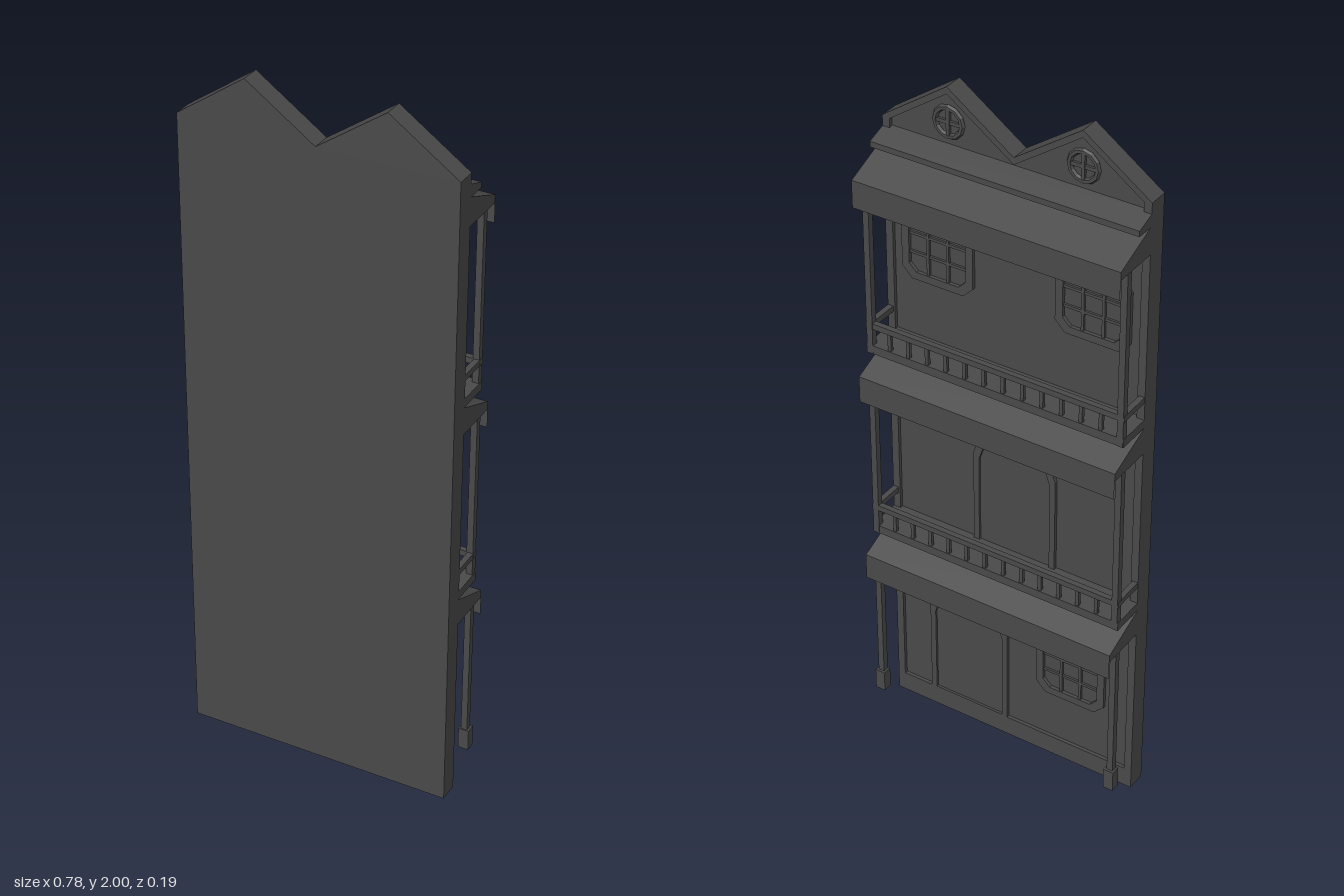
import * as THREE from 'three';

const mat = new THREE.MeshStandardMaterial({ color: 0x4a4a4a, flatShading: true });
const thinMat = new THREE.MeshStandardMaterial({ color: 0x4a4a4a, flatShading: true, side: THREE.DoubleSide });
const HALF = 0.387;      // half width of the facade
const WALL = 0.05;       // z of the recessed wall face, which looks to -z
const TRIM = 0.01;       // how far the trim stands out from it

function add(parent, name, geo, material = mat) {
  const mesh = new THREE.Mesh(geo, material);
  mesh.name = name;
  parent.add(mesh);
  return mesh;
}

function box(parent, name, x0, x1, y0, y1, z0, z1) {
  const m = add(parent, name, new THREE.BoxGeometry(x1 - x0, y1 - y0, z1 - z0));
  m.position.set((x0 + x1) / 2, (y0 + y1) / 2, (z0 + z1) / 2);
}

function group(parent, name) {
  const g = new THREE.Group();
  g.name = name;
  parent.add(g);
  return g;
}

const poly = pts => pts.map(([x, y]) => new THREE.Vector2(x, y));

// Flat relief standing out from the wall face by depth
function relief(parent, name, outer, depth, hole) {
  const shape = new THREE.Shape(poly(outer));
  if (hole) shape.holes.push(new THREE.Path(poly(hole)));
  const geo = new THREE.ExtrudeGeometry(shape, { depth, bevelEnabled: false });
  geo.translate(0, 0, WALL - depth);
  add(parent, name, geo);
}

// [z, y] profile swept over the full width
function sweep(parent, name, profile) {
  const geo = new THREE.ExtrudeGeometry(new THREE.Shape(poly(profile)), { depth: HALF * 2, bevelEnabled: false });
  geo.rotateY(-Math.PI / 2).translate(HALF, 0, 0);
  add(parent, name, geo);
}

// Rectangle with cut corners
const octagon = (x, y, w, h, c) => [
  [x - w + c, y - h], [x + w - c, y - h], [x + w, y - h + c], [x + w, y + h - c],
  [x + w - c, y + h], [x - w + c, y + h], [x - w, y + h - c], [x - w, y - h + c]];

// Door outline with a faceted arched top
const arch = (x, y0, y1, w) => [
  [x - w, y0], [x + w, y0], [x + w, y1 - 0.08], [x + w * 0.86, y1 - 0.035], [x + w * 0.5, y1],
  [x - w * 0.5, y1], [x - w * 0.86, y1 - 0.035], [x - w, y1 - 0.08]];

function gridWindow(parent, x, y) {
  const g = group(parent, 'window');
  relief(g, 'windowFrame', octagon(x, y, 0.108, 0.105, 0.03), TRIM, octagon(x, y, 0.086, 0.083, 0.022));
  for (const s of [-1, 1]) {
    box(g, 'verticalBar', x + s * 0.03 - 0.004, x + s * 0.03 + 0.004, y - 0.084, y + 0.084, WALL - 0.007, WALL);
    box(g, 'horizontalBar', x - 0.087, x + 0.087, y + s * 0.028 - 0.004, y + s * 0.028 + 0.004, WALL - 0.006, WALL);
  }
}

function door(parent, x, y0, y1) {
  const g = group(parent, 'door');
  relief(g, 'doorFrame', arch(x, y0, y1, 0.127), TRIM, arch(x, y0 + 0.002, y1 - 0.017, 0.11));
  relief(g, 'doorPanel', arch(x, y0 + 0.002, y1 - 0.017, 0.11), 0.003);
}

function roundWindow(parent, x, y) {
  const g = group(parent, 'roundWindow');
  add(g, 'roundFrame', new THREE.TorusGeometry(0.04, 0.008, 6, 12)).position.set(x, y, WALL - 0.002);
  box(g, 'verticalBar', x - 0.005, x + 0.005, y - 0.04, y + 0.04, WALL - 0.008, WALL);
  box(g, 'horizontalBar', x - 0.04, x + 0.04, y - 0.005, y + 0.005, WALL - 0.007, WALL);
}

// Sloping porch roof with its hanging valance
function porchRoof(parent, y) {
  const g = group(parent, 'porchRoof');
  sweep(g, 'roofSlope', [[WALL, y], [WALL, y + 0.083], [0.04, y + 0.079], [-0.096, y + 0.023], [-0.096, y]]);
  const v = add(g, 'valance', new THREE.PlaneGeometry(HALF * 2, 0.078), thinMat);
  v.position.set(0, y - 0.016, -0.097);
}

// Balcony floor, rails and balusters
function balcony(parent, y) {
  const g = group(parent, 'balcony');
  box(g, 'balconyFloor', -HALF, HALF, y, y + 0.025, -0.058, WALL);
  box(g, 'frontRail', -HALF, HALF, y + 0.076, y + 0.093, -0.058, -0.042);
  for (const s of [-1, 1]) {
    const x = s * 0.378;
    box(g, 'sideRail', x - 0.008, x + 0.008, y + 0.076, y + 0.093, -0.05, WALL);
  }
  const n = 13;
  for (let i = 1; i < n; i++) {
    const x = -0.375 + (0.75 * i) / n;
    box(g, 'baluster', x - 0.005, x + 0.005, y + 0.02, y + 0.08, -0.055, -0.045);
  }
}

export function createModel() {
  const model = new THREE.Group();
  model.name = 'facade';

  // Wall slab with two gables
  const mid = HALF / 2;
  const gables = [[-HALF, 0], [HALF, 0], [HALF, 1.865], [mid, 2], [0, 1.865], [-mid, 2], [-HALF, 1.865]];
  const wall = new THREE.ExtrudeGeometry(new THREE.Shape(poly(gables)), { depth: 0.097 - WALL, bevelEnabled: false });
  add(model, 'wall', wall.translate(0, 0, WALL));

  // Gable boards and round windows
  for (const s of [-1, 1]) {
    const x = s * mid, t = 0.02;
    relief(model, 'gableBoard', [[x - mid, 1.865 - t], [x, 2 - t], [x + mid, 1.865 - t],
      [x + mid, 1.865], [x, 2], [x - mid, 1.865]], TRIM);
    roundWindow(model, x, 1.9);
  }

  // Cornice below the gables
  sweep(model, 'cornice', [[WALL, 1.8], [WALL, 1.838], [-0.015, 1.816], [-0.015, 1.8]]);

  // Porch roofs, balconies and wall trim for each storey
  const roofs = [0.548, 1.135, 1.722], floors = [0, 0.629, 1.215];
  roofs.forEach((top, i) => {
    porchRoof(model, top);
    if (i > 0) balcony(model, floors[i]);
    box(model, 'upperMoulding', -HALF, HALF, top - 0.025, top, WALL - TRIM, WALL);
    for (const s of [-1, 1]) {
      const x = s * (HALF - 0.011), p = s * 0.376;
      box(model, 'post', p - 0.009, p + 0.009, i ? floors[i] : 0.08, top, -0.059, -0.041);
      box(model, 'cornerStrip', x - 0.011, x + 0.011, floors[i], i < 2 ? floors[i + 1] : 1.86, WALL - TRIM, WALL);
      if (i === 0) box(model, 'postBase', p - 0.015, p + 0.015, 0.073, 0.137, -0.066, -0.038);
    }
  });
  box(model, 'baseboard', -HALF, HALF, 0, 0.06, WALL - TRIM, WALL);

  // Doors and windows
  door(model, 0.145, 0.06, 0.435);
  door(model, -0.003, 0.64, 1.02);
  gridWindow(model, -0.185, 0.32);
  for (const s of [-1, 1]) gridWindow(model, s * 0.23, 1.52);

  return model;
}
